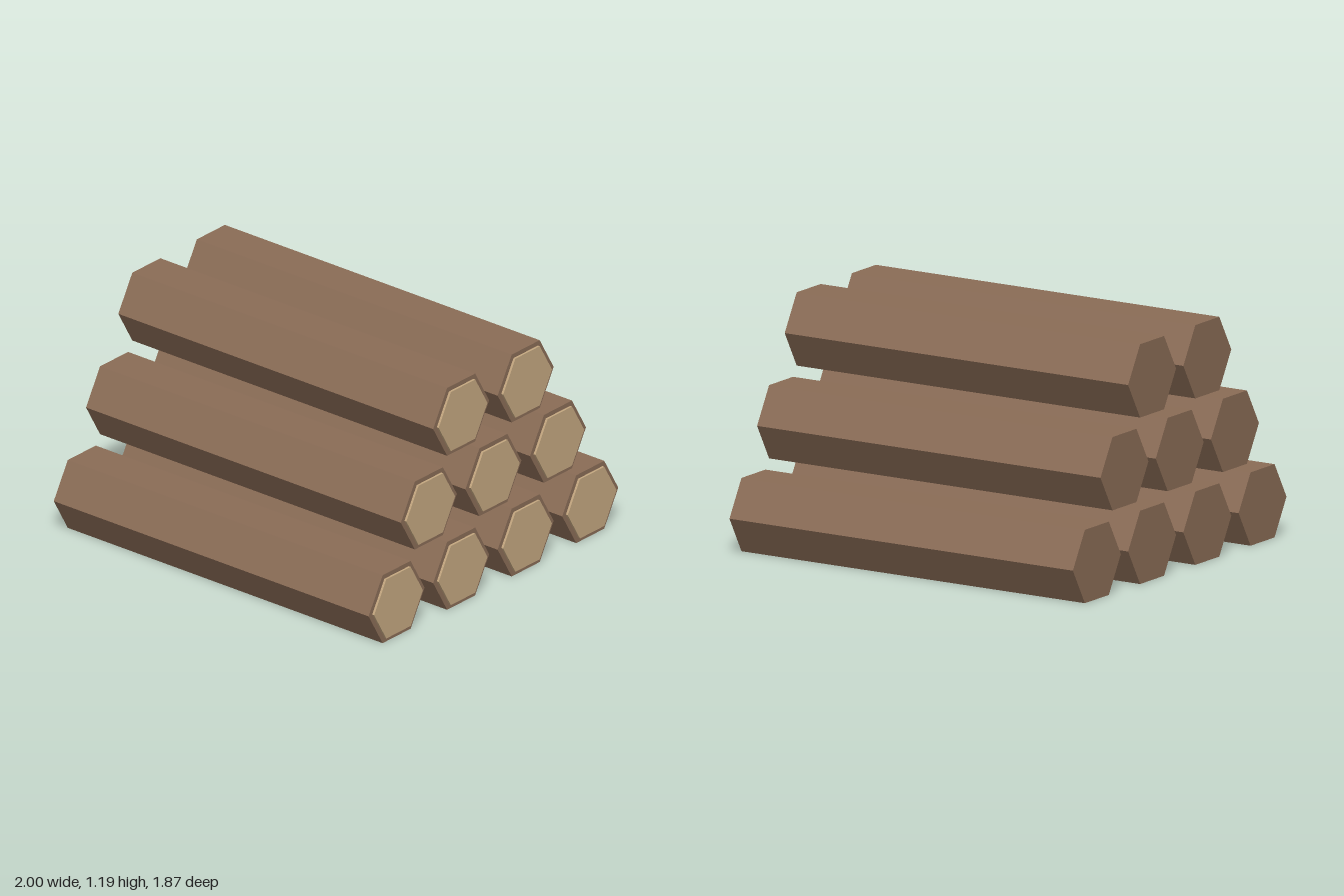
import * as THREE from 'three';

const RADIUS = 0.21;
const SPACING = 0.484; // between log centres in a row
const ROW_STEP = 0.413; // between row heights
const ROWS = [4, 3, 2];

// Hexagonal prism lying along x from x0 to x1, flats on top and bottom
function hexPrism(radius, x0, x1) {
  return new THREE.CylinderGeometry(radius, radius, x1 - x0, 6)
    .rotateZ(-Math.PI / 2)
    .translate((x0 + x1) / 2, 0, 0);
}

export function createModel() {
  const model = new THREE.Group();
  model.name = 'logPile';

  const bark = new THREE.MeshStandardMaterial({ color: 0x8a6c56, flatShading: true });
  const cutWood = new THREE.MeshStandardMaterial({ color: 0xc4a780, flatShading: true });
  const barkGeometry = hexPrism(RADIUS, -1, 0.988);
  const cutGeometry = hexPrism(0.183, 0.96, 1);

  // Stacked rows, each one log shorter than the row below
  ROWS.forEach((count, row) => {
    for (let i = 0; i < count; i++) {
      const log = new THREE.Group();
      log.name = `log_row${row + 1}_${i + 1}`;

      const trunk = new THREE.Mesh(barkGeometry, bark);
      trunk.name = 'bark';
      // Pale cut face, raised slightly from one end only
      const cutEnd = new THREE.Mesh(cutGeometry, cutWood);
      cutEnd.name = 'cutEnd';
      log.add(trunk, cutEnd);

      log.position.set(
        0,
        RADIUS * Math.cos(Math.PI / 6) + row * ROW_STEP,
        (i - (count - 1) / 2) * SPACING
      );
      model.add(log);
    }
  });

  return model;
}
